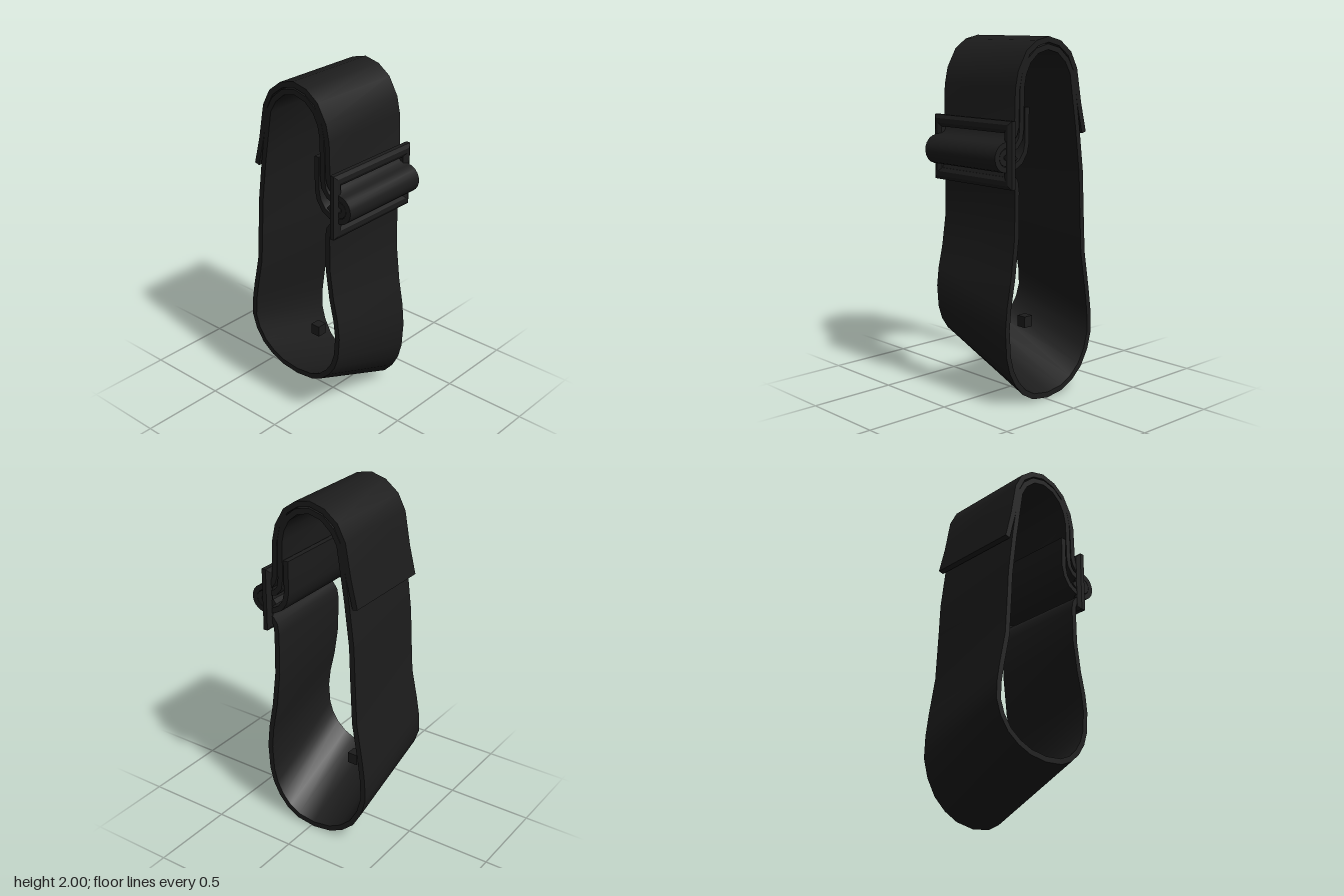
import * as THREE from 'three';
import { toCreasedNormals } from 'three/addons/utils/BufferGeometryUtils.js';

const Z0 = -0.28, Z1 = 0.285, THICK = 0.031;

// The lower part of the strap hangs deeper towards the back.
const drop = (y) => 0.24 * Math.min(1, Math.max(0, 1.25 - y));

// Points along an arc, angles in degrees.
function arc(cx, cy, r, from, to, n) {
  return Array.from({ length: n + 1 }, (_, i) => {
    const a = THREE.MathUtils.degToRad(from + ((to - from) * i) / n);
    return [cx + r * Math.cos(a), cy + r * Math.sin(a)];
  });
}

// Left-hand side normal of a polyline at point i.
function normalAt(pts, i) {
  const a = pts[Math.max(0, i - 1)], b = pts[Math.min(pts.length - 1, i + 1)];
  const dx = b[0] - a[0], dy = b[1] - a[1], l = Math.hypot(dx, dy);
  return [-dy / l, dx / l];
}

// A flat band of constant thickness following a centre line in the xy plane.
function ribbon(front) {
  const back = front.map(([x, y]) => [x, y - drop(y)]);
  const pos = [], index = [];
  const h = THICK / 2;
  front.forEach((_, i) => {
    const nb = normalAt(back, i), nf = normalAt(front, i);
    const b = back[i], f = front[i];
    pos.push(b[0] - nb[0] * h, b[1] - nb[1] * h, Z0);
    pos.push(b[0] + nb[0] * h, b[1] + nb[1] * h, Z0);
    pos.push(f[0] + nf[0] * h, f[1] + nf[1] * h, Z1);
    pos.push(f[0] - nf[0] * h, f[1] - nf[1] * h, Z1);
  });
  for (let i = 0; i < front.length - 1; i++) {
    for (let j = 0; j < 4; j++) {
      const a = i * 4 + j, b = i * 4 + ((j + 1) % 4);
      index.push(a, b, b + 4, a, b + 4, a + 4);
    }
  }
  const e = (front.length - 1) * 4;
  index.push(0, 3, 2, 0, 2, 1, e, e + 1, e + 2, e, e + 2, e + 3);
  const geo = new THREE.BufferGeometry();
  geo.setAttribute('position', new THREE.Float32BufferAttribute(pos, 3));
  geo.setIndex(index);
  return toCreasedNormals(geo, 0.7);
}

function rect(target, w, h) {
  target.moveTo(-w, -h);
  target.lineTo(w, -h);
  target.lineTo(w, h);
  target.lineTo(-w, h);
  target.closePath();
  return target;
}

export function createModel() {
  const group = new THREE.Group();
  const material = new THREE.MeshStandardMaterial({ color: 0x1c1c1c });
  const add = (name, geometry) => {
    const mesh = new THREE.Mesh(geometry, material);
    mesh.name = name;
    group.add(mesh);
    return mesh;
  };

  // Main strap: from the lower buckle bar, round the bottom, over the top, into the inner loop
  add('mainStrap', ribbon([
    [0.275, 1.285], [0.245, 1.272], [0.225, 1.245], [0.217, 1.2], [0.22, 1.0],
    [0.245, 0.83], [0.275, 0.7], [0.287, 0.6], [0.278, 0.48], [0.255, 0.41],
    [0.215, 0.35], [0.16, 0.3], [0.09, 0.268], [-0.02, 0.255], [-0.13, 0.268],
    [-0.21, 0.3], [-0.28, 0.35], [-0.33, 0.42], [-0.357, 0.5], [-0.352, 0.6],
    [-0.335, 0.7], [-0.297, 0.88], [-0.283, 1.1], [-0.275, 1.25], [-0.243, 1.5],
    [-0.195, 1.8], [-0.155, 1.87], [-0.09, 1.925], [-0.01, 1.945], [0.07, 1.925],
    [0.13, 1.875], [0.165, 1.81], [0.18, 1.74], [0.184, 1.52], [0.192, 1.47],
    [0.22, 1.435], ...arc(0.298, 1.38, 0.03, 90, -90, 8), [0.25, 1.36], [0.225, 1.38],
  ]));

  // Outer layer: flap over the top, round the buckle and back up as a tail
  add('foldedStrap', ribbon([
    [-0.295, 1.47], [-0.255, 1.63], [-0.22, 1.82], [-0.175, 1.905], [-0.1, 1.962],
    [-0.015, 1.984], [0.07, 1.965], [0.14, 1.915], [0.195, 1.82], [0.215, 1.73],
    [0.221, 1.53], [0.23, 1.5], [0.255, 1.465], ...arc(0.295, 1.38, 0.065, 85, -95, 10),
    [0.235, 1.325], [0.19, 1.35], [0.158, 1.395], [0.145, 1.45], [0.145, 1.635],
  ]));

  // Buckle frame with a chamfered rim
  const frame = rect(new THREE.Shape(), 0.29, 0.16);
  frame.holes.push(rect(new THREE.Path(), 0.288 - 0.015, 0.135));
  const buckleGeo = new THREE.ExtrudeGeometry(frame, {
    depth: 0.026, bevelThickness: 0.012, bevelSize: 0.02, bevelSegments: 1,
  });
  buckleGeo.translate(0, 0, -0.013).rotateY(Math.PI / 2);
  add('buckleFrame', buckleGeo).position.set(0.27, 1.39, 0);

  // Small block inside the loop
  add('innerBlock', new THREE.BoxGeometry(0.06, 0.065, 0.06)).position.set(-0.115, 0.37, 0);

  return group;
}
